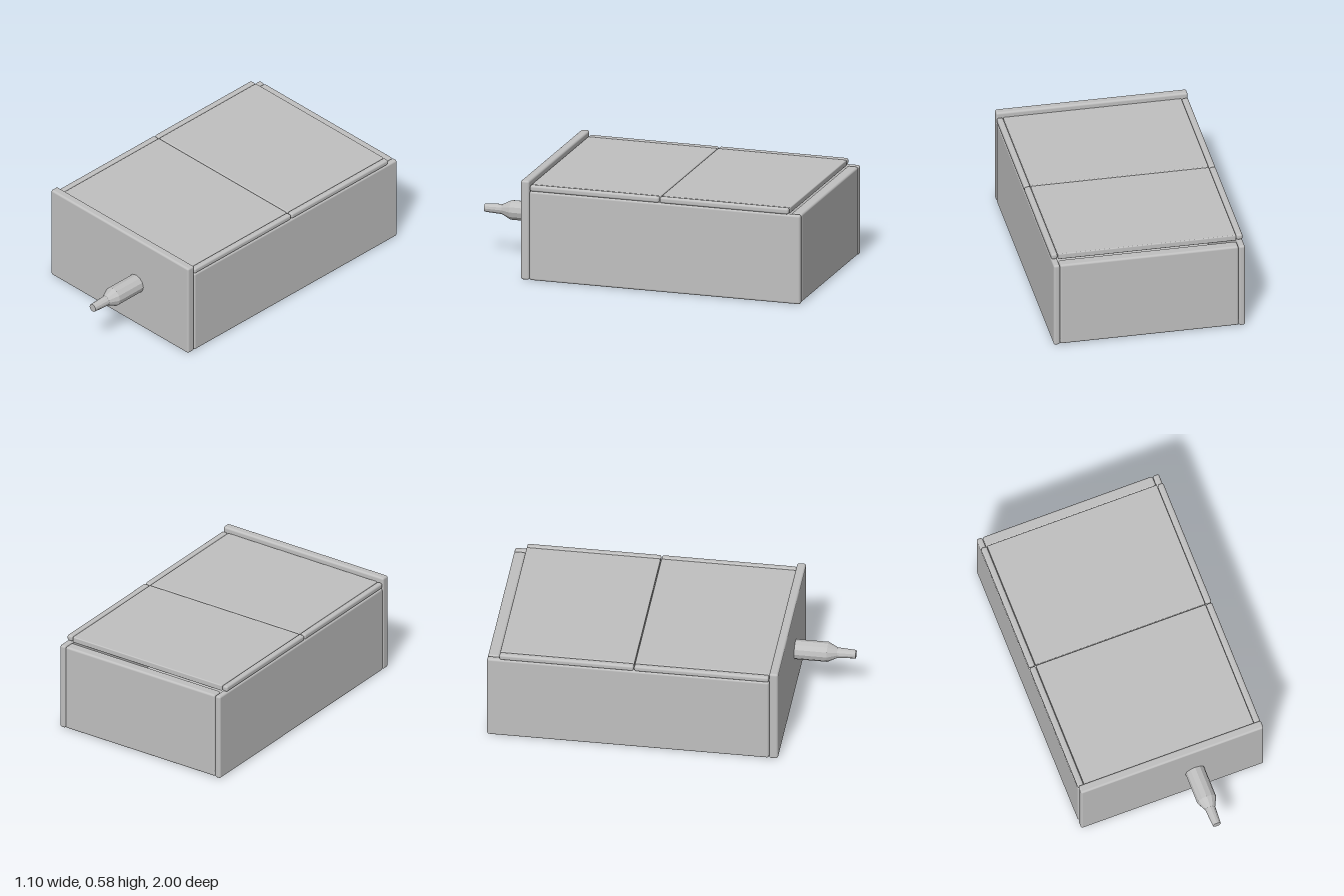
import * as THREE from 'three';
import { RoundedBoxGeometry } from 'three/addons/geometries/RoundedBoxGeometry.js';

export function createModel() {
  const model = new THREE.Group();
  model.name = 'drawerBox';
  const grey = new THREE.MeshStandardMaterial({ color: 0xc0c0c0 });
  grey.name = 'light grey';

  // Board with softly rounded edges, given by its extents
  function board(name, [x0, x1], [y0, y1], [z0, z1], radius = 0.012) {
    const geometry = new RoundedBoxGeometry(x1 - x0, y1 - y0, z1 - z0, 3, radius);
    const mesh = new THREE.Mesh(geometry, grey);
    mesh.position.set((x0 + x1) / 2, (y0 + y1) / 2, (z0 + z1) / 2);
    mesh.name = name;
    model.add(mesh);
  }

  // Front panel, taller than the body
  board('frontPanel', [-0.55, 0.55], [0, 0.58], [0.605, 0.655]);

  // Body: bottom, back and two sides
  board('bottomPanel', [-0.514, 0.514], [0.004, 0.04], [-0.995, 0.604], 0.006);
  board('backPanel', [-0.512, 0.512], [0.004, 0.52], [-1, -0.935]);
  for (const side of [-1, 1]) {
    const x = side > 0 ? [0.514, 0.55] : [-0.55, -0.514];
    board(side > 0 ? 'leftSide' : 'rightSide', x, [0, 0.52], [-1, 0.604]);
  }

  // Two-part lid: each half is a panel between two edge rails
  const halves = { front: [-0.163, 0.602], back: [-0.93, -0.167] };
  for (const [half, z] of Object.entries(halves)) {
    board(`${half}LidPanel`, [-0.512, 0.512], [0.518, 0.553], z, 0.006);
    board(`${half}LeftRail`, [0.514, 0.55], [0.52, 0.555], z);
    board(`${half}RightRail`, [-0.55, -0.514], [0.52, 0.555], z);
  }

  // Faceted handle, stepped down to a narrow neck
  const profile = [[0, 0], [0.057, 0], [0.057, 0.19], [0.03, 0.245], [0.024, 0.35], [0, 0.35]]
    .map(([r, h]) => new THREE.Vector2(r, h));
  const handleGeometry = new THREE.LatheGeometry(profile, 12).toNonIndexed();
  handleGeometry.computeVertexNormals();
  const handle = new THREE.Mesh(handleGeometry, grey);
  handle.name = 'handle';
  handle.rotation.x = Math.PI / 2;
  handle.position.set(0.135, 0.278, 0.65);
  model.add(handle);

  return model;
}
